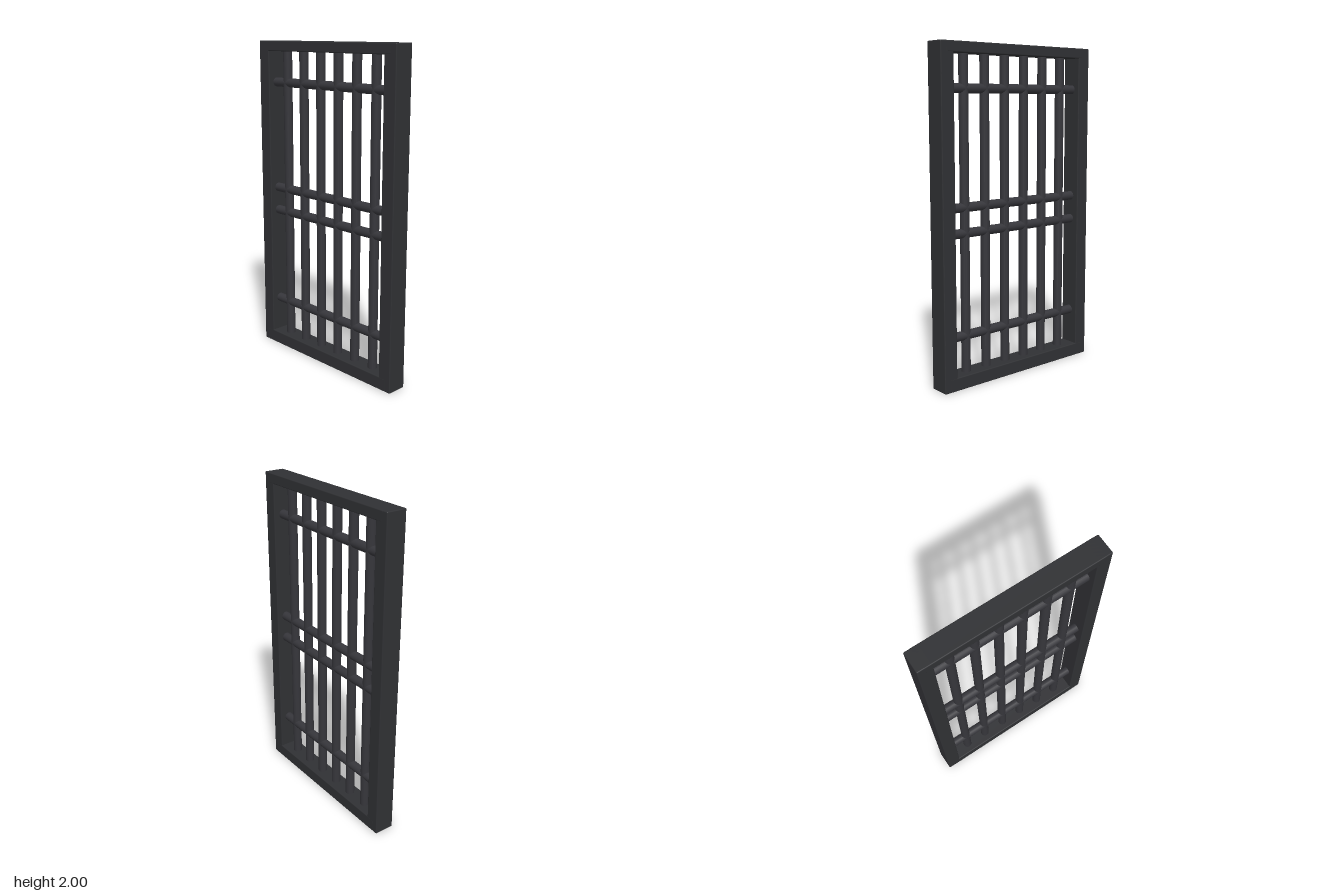
import * as THREE from 'three';
import { RoundedBoxGeometry } from 'three/addons/geometries/RoundedBoxGeometry.js';

const W = 1.143, H = 2, D = 0.127;       // overall size
const POST = 0.088, TOP = 0.062, BOTTOM = 0.08; // frame member widths
const BAR_R = 0.028;

export function createModel() {
  const group = new THREE.Group();
  const frameMat = new THREE.MeshStandardMaterial({ color: 0x303134 });
  const barMat = new THREE.MeshStandardMaterial({ color: 0x36363b });

  function beam(name, w, h, d, x, y) {
    const mesh = new THREE.Mesh(new RoundedBoxGeometry(w, h, d, 2, 0.006), frameMat);
    mesh.name = name;
    mesh.position.set(x, y, 0);
    group.add(mesh);
  }

  function bar(name, length, x, y, horizontal) {
    const mesh = new THREE.Mesh(new THREE.CylinderGeometry(BAR_R, BAR_R, length, 16), barMat);
    mesh.name = name;
    mesh.position.set(x, y, 0);
    if (horizontal) mesh.rotation.z = Math.PI / 2;
    group.add(mesh);
  }

  // Outer frame: two posts, with rails let in between them
  for (const s of [-1, 1]) {
    beam(s > 0 ? 'leftPost' : 'rightPost', POST, H, D, s * (W - POST) / 2, H / 2);
  }
  const railLength = W - 0.07;
  beam('topRail', railLength, TOP, D + 0.001, 0, H - TOP / 2);
  beam('bottomRail', railLength, BOTTOM, D + 0.001, 0, BOTTOM / 2);

  // Upright bars, evenly spaced and reaching just into the rails
  const barBottom = BOTTOM - 0.01, barTop = H - TOP + 0.01;
  for (let i = 0; i < 6; i++) {
    bar('uprightBar' + (i + 1), barTop - barBottom, (i - 2.5) * 0.15, (barTop + barBottom) / 2, false);
  }

  // Cross bars: one near each end and a pair in the middle
  [0.302, 0.915, 1.066, 1.745].forEach((y, i) => {
    bar('crossBar' + (i + 1), W - 2 * POST + 0.02, 0, y, true);
  });

  return group;
}
